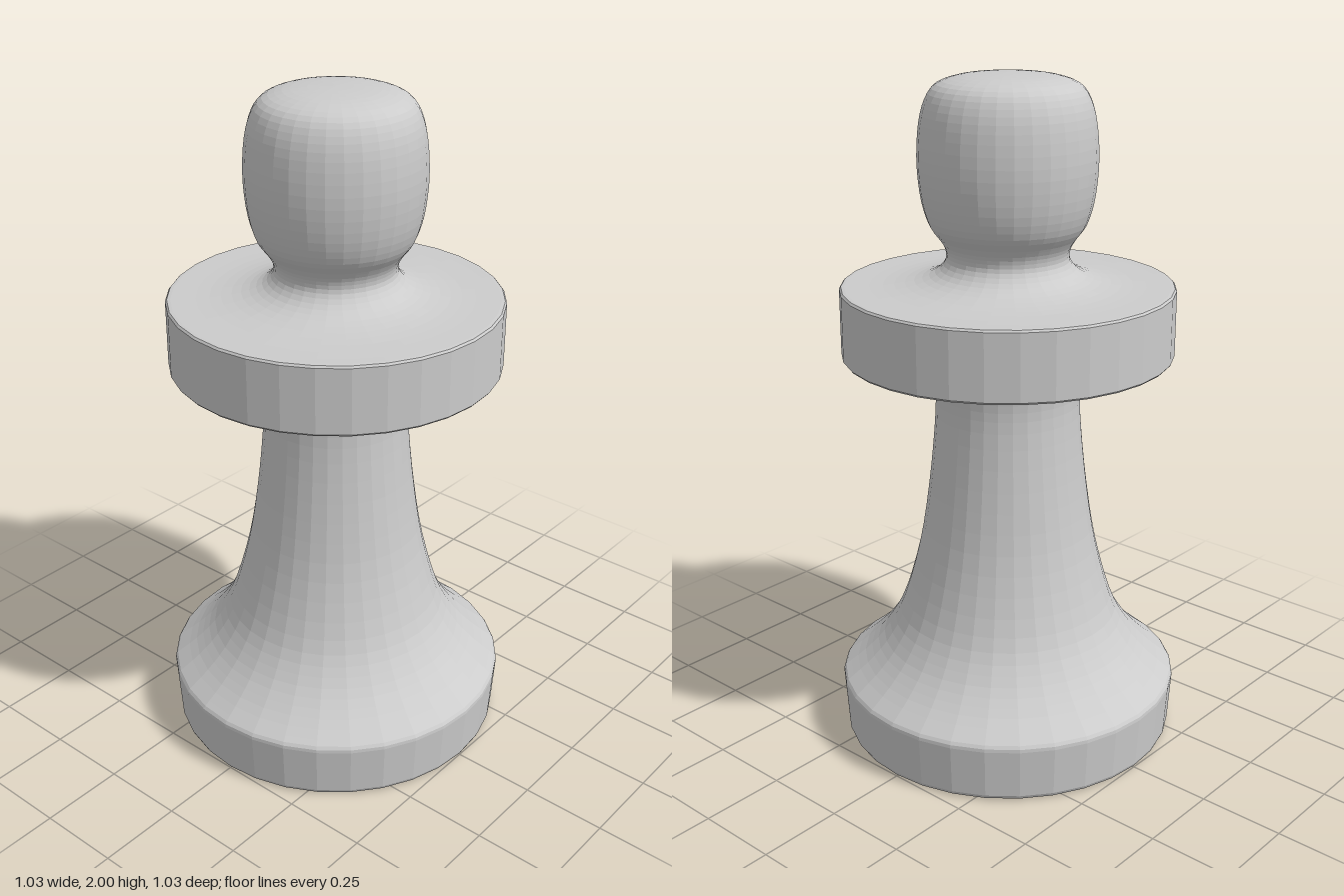
import * as THREE from 'three';

const SIDES = 32;
const material = new THREE.MeshStandardMaterial({ color: 0xcccccc, flatShading: true });

const toPoints = (pairs) => pairs.map(([r, y]) => new THREE.Vector2(r, y));

// Smooth curve through a few [radius, height] pairs
const smooth = (pairs, steps) => new THREE.SplineCurve(toPoints(pairs)).getPoints(steps)
  .map((p) => new THREE.Vector2(Math.max(p.x, 0), Math.min(p.y, 2)));

function turned(name, points) {
  const mesh = new THREE.Mesh(new THREE.LatheGeometry(points, SIDES), material);
  mesh.name = name;
  return mesh;
}

export function createModel() {
  const pawn = new THREE.Group();
  pawn.name = 'pawn';

  // Plinth with a closed underside and slightly flared rim
  pawn.add(turned('base', toPoints([
    [0, 0], [0.485, 0], [0.5, 0.005], [0.505, 0.016], [0.515, 0.165], [0.514, 0.175], [0.508, 0.184],
  ])));

  // Concave stem sweeping out under the collar
  pawn.add(turned('stem', smooth([
    [0.508, 0.184], [0.44, 0.24], [0.375, 0.313], [0.32, 0.415], [0.268, 0.6], [0.236, 0.8],
    [0.216, 1.0], [0.215, 1.1], [0.228, 1.148], [0.265, 1.178], [0.34, 1.192], [0.47, 1.197],
  ], 36)));

  // Disc collar with tiny bevels
  pawn.add(turned('collar', toPoints([
    [0.47, 1.197], [0.48, 1.198], [0.485, 1.204], [0.485, 1.396], [0.48, 1.402], [0.47, 1.403],
  ])));

  // Fillet from the collar up to the narrow neck
  pawn.add(turned('neck', smooth([
    [0.47, 1.403], [0.36, 1.405], [0.27, 1.417], [0.21, 1.44], [0.179, 1.475], [0.18, 1.51], [0.197, 1.54],
  ], 18)));

  // Rounded barrel head
  pawn.add(turned('head', smooth([
    [0.197, 1.54], [0.225, 1.58], [0.246, 1.65], [0.256, 1.75], [0.251, 1.85], [0.235, 1.92],
    [0.205, 1.966], [0.15, 1.988], [0.08, 1.997], [0, 2],
  ], 28)));

  return pawn;
}
